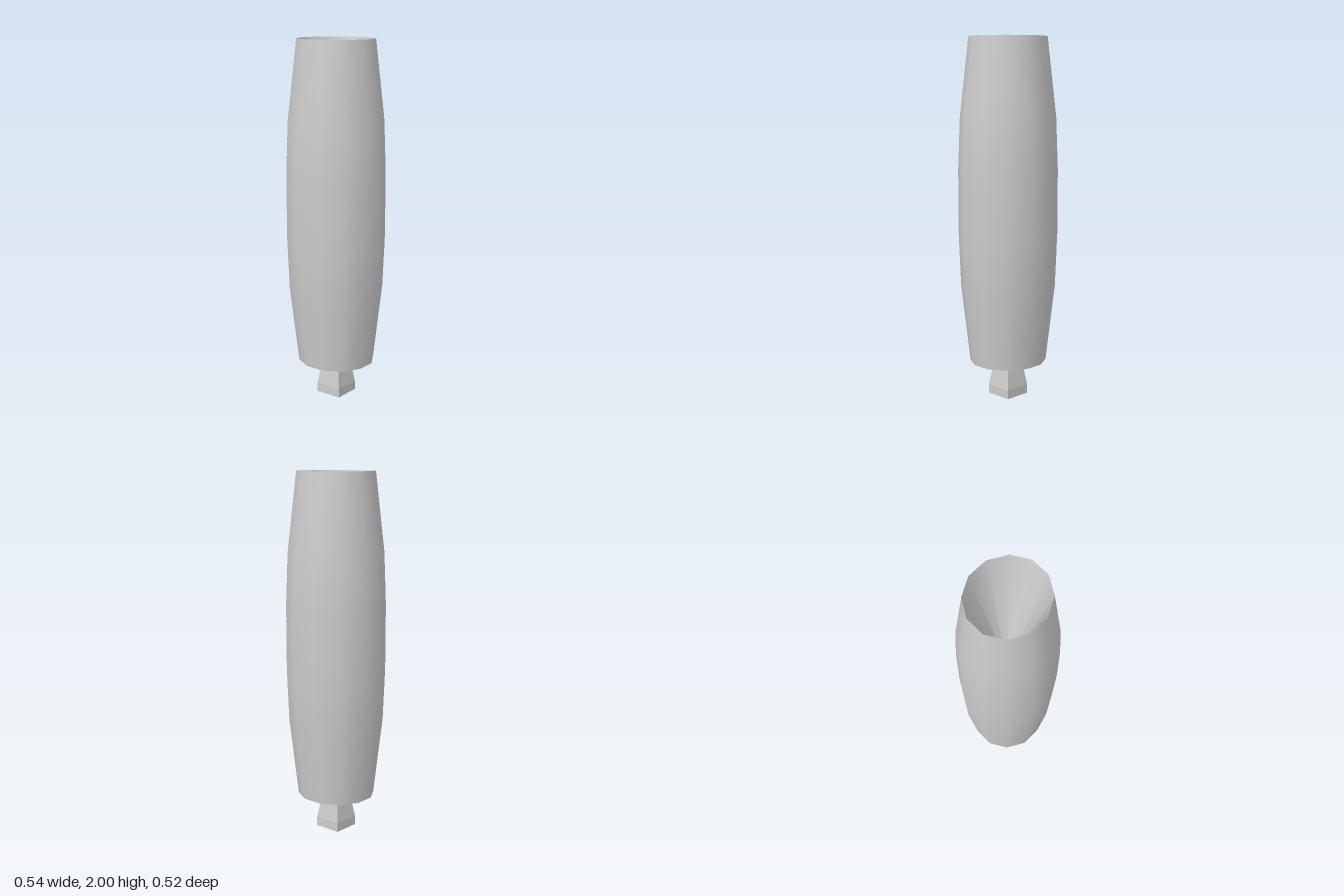
import * as THREE from 'three';

const SIDES = 12;
const DEPTH_SCALE = 0.957; // body is slightly flatter front to back

function lathe(name, profile, sides, phase, flatShading) {
  const points = profile.map(([r, y]) => new THREE.Vector2(r, y));
  const material = new THREE.MeshStandardMaterial({ color: 0xcccccc, flatShading });
  const mesh = new THREE.Mesh(new THREE.LatheGeometry(points, sides, phase), material);
  mesh.name = name;
  return mesh;
}

export function createModel() {
  const group = new THREE.Group();
  group.name = 'handle';
  const rim = 0.2174, bottom = 0.2, top = 2, middle = 1.1;

  // Barrel-shaped grip, with a conical hollow in each end
  const grip = new THREE.Group();
  grip.name = 'grip';
  grip.scale.z = DEPTH_SCALE;
  const phase = Math.PI / SIDES;
  grip.add(
    lathe('gripShell', [
      [rim, bottom], [0.268, 0.63], [0.2795, 0.92],
      [0.2795, 1.28], [0.268, 1.57], [rim, top],
    ], SIDES, phase, false),
    lathe('topHollow', [[rim, top], [0, middle]], SIDES, phase, false),
    lathe('bottomHollow', [[0, middle], [rim, bottom]], SIDES, phase, false),
  );
  group.add(grip);

  // Square tapering stem that rises into the bottom hollow
  group.add(lathe('stem', [
    [0, 0], [0.109, 0], [0.109, 0.05], [0.076, 0.2], [0, 0.55],
  ], 4, Math.PI / 4, true));

  return group;
}
